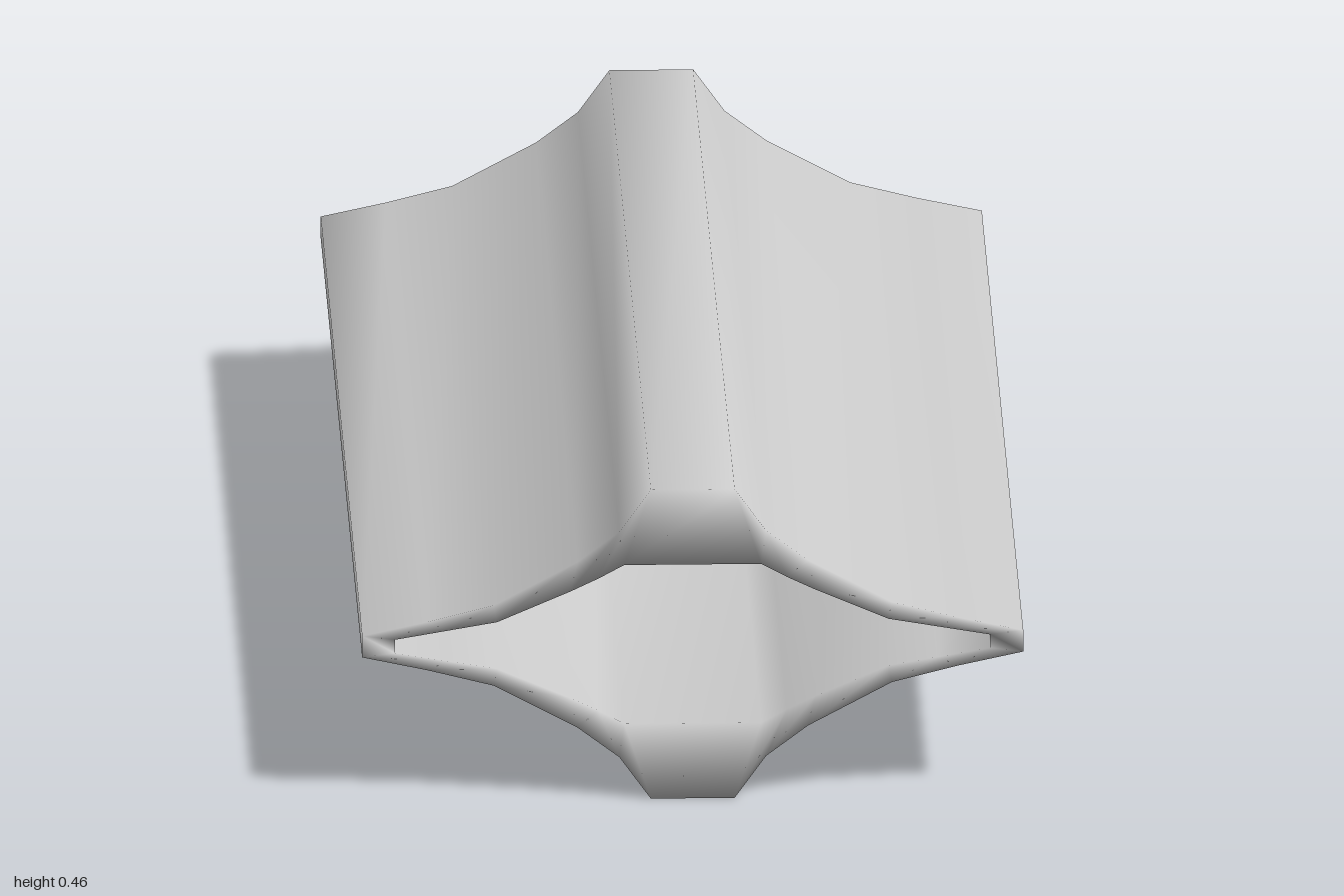
import * as THREE from 'three';

const MID = 0.2315; // height of the horizontal symmetry plane

// Upper right quarter profiles, from side tip to ridge: [x, height above MID]
const OUTER = [[0.473, 0.016], [0.38, 0.036], [0.285, 0.06], [0.165, 0.124], [0.105, 0.169], [0.06, 0.2315]];
const INNER = [[0.426, 0.01], [0.35, 0.023], [0.28, 0.035], [0.175, 0.08], [0.135, 0.099], [0.098, 0.119]];

// Mirror a quarter into a full counter-clockwise loop
function loop(quarter) {
  const top = [...quarter, ...quarter.map(([x, y]) => [-x, y]).reverse()];
  return [...top, ...top.map(([x, y]) => [x, -y]).reverse()];
}

// Loft through successive loops, then close the last one with a strip of quads
function loft(sections) {
  const positions = [];
  const index = [];
  const n = sections[0].points.length;
  for (const { points, z } of sections) {
    for (const [x, y] of points) positions.push(x, y + MID, z);
  }
  for (let s = 0; s < sections.length - 1; s++) {
    for (let i = 0; i < n; i++) {
      const j = (i + 1) % n;
      const a = s * n, b = a + n;
      index.push(a + i, a + j, b + j, a + i, b + j, b + i);
    }
  }
  const base = (sections.length - 1) * n;
  for (let i = 0; i < n / 2 - 1; i++) {
    const a = base + i, b = a + 1;
    const c = base + n - 2 - i, d = c + 1;
    index.push(a, b, c, a, c, d);
  }
  const geometry = new THREE.BufferGeometry();
  geometry.setAttribute('position', new THREE.Float32BufferAttribute(positions, 3));
  geometry.setIndex(index);
  geometry.computeVertexNormals();
  return geometry;
}

export function createModel() {
  const group = new THREE.Group();
  group.name = 'hollowSheath';
  const material = new THREE.MeshStandardMaterial({ color: 0xcccccc, side: THREE.DoubleSide });

  // Outer skin from the open back, front rim, inner pocket and its end wall
  const outer = loop(OUTER);
  const inner = loop(INNER);
  const casing = new THREE.Mesh(loft([
    { points: outer, z: -1 },
    { points: outer, z: 1 },
    { points: inner, z: 1 },
    { points: inner, z: -0.4 },
  ]), material);
  casing.name = 'casing';
  group.add(casing);
  return group;
}
